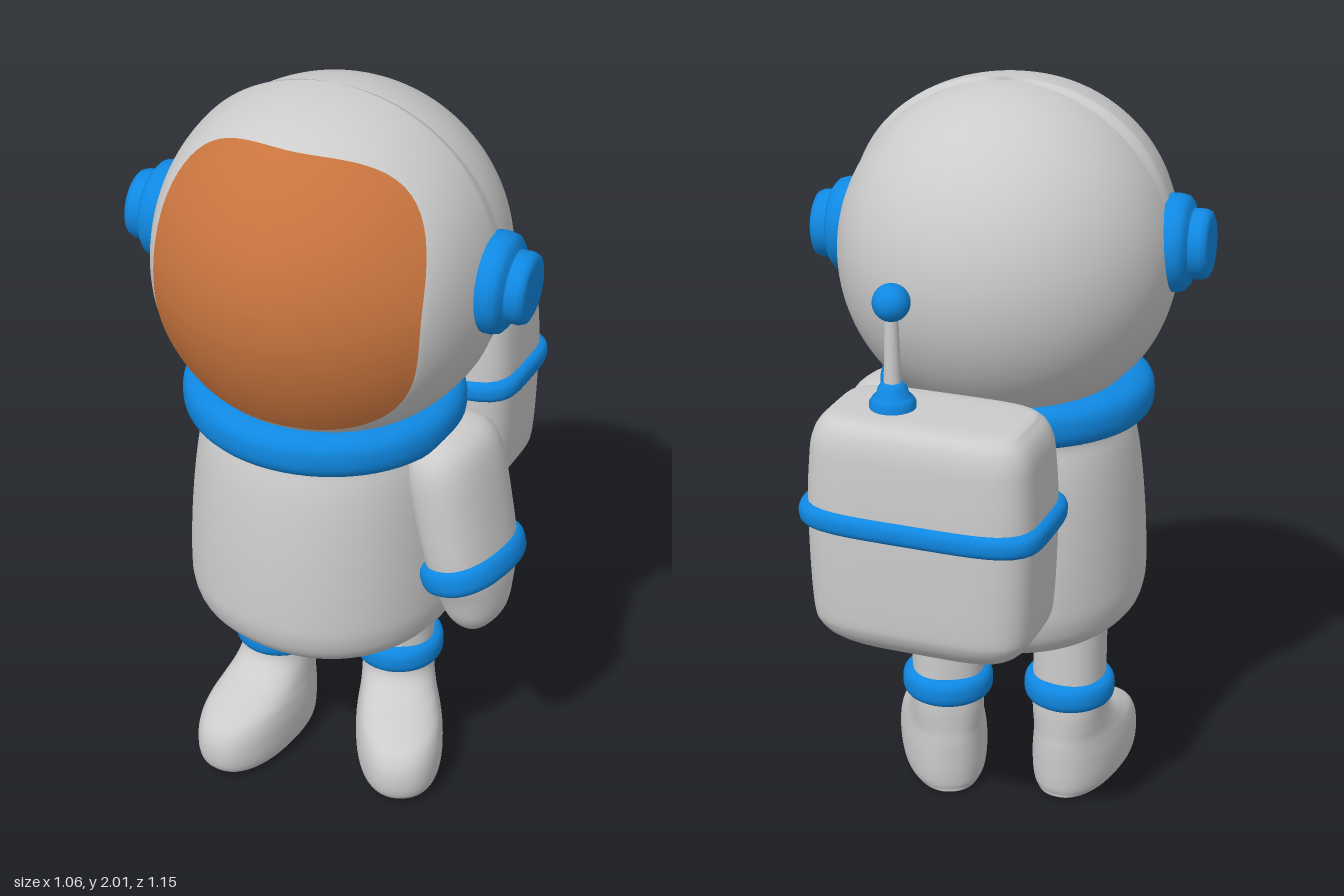
import * as THREE from 'three';

const grey = new THREE.MeshStandardMaterial({ color: 0xcccccc });
const blue = new THREE.MeshStandardMaterial({ color: 0x0f88e2 });
const amber = new THREE.MeshStandardMaterial({ color: 0xc8743e });
const { smoothstep } = THREE.MathUtils;

// Smooth surface from rows of closed loops; point(i, angle) returns [x, y, z]
function loops(rows, cols, point) {
  const pos = [], index = [];
  for (let i = 0; i <= rows; i++)
    for (let j = 0; j < cols; j++) pos.push(...point(i, (j / cols) * Math.PI * 2));
  for (let i = 0; i < rows; i++)
    for (let j = 0; j < cols; j++) {
      const a = i * cols + j, b = i * cols + ((j + 1) % cols);
      index.push(a, a + cols, b, b, a + cols, b + cols);
    }
  const g = new THREE.BufferGeometry();
  g.setAttribute('position', new THREE.Float32BufferAttribute(pos, 3));
  g.setIndex(index);
  g.computeVertexNormals();
  return g;
}

// Unit superellipse: n = 2 is a circle, larger n is squarer
function squircle(a, n) {
  const c = Math.cos(a), s = Math.sin(a);
  const r = Math.pow(Math.abs(c) ** n + Math.abs(s) ** n, -1 / n);
  return [c * r, s * r];
}

function spline(a, b, c, d, t) {
  const m = (c - a) / 2, k = (d - b) / 2;
  return (2 * b - 2 * c + m + k) * t ** 3 + (-3 * b + 3 * c - 2 * m - k) * t * t + m * t + b;
}

// Loft through cross-sections [y, halfX, halfZ, centreX, centreZ], from bottom to top
function loft(sections, n = 2, sub = 6) {
  const at = (i) => sections[Math.min(Math.max(i, 0), sections.length - 1)];
  const rows = (sections.length - 1) * sub;
  return loops(rows, 64, (i, a) => {
    const k = Math.min(Math.floor(i / sub), sections.length - 2), t = i / sub - k;
    const v = [0, 1, 2, 3, 4].map((c) =>
      spline(at(k - 1)[c] ?? 0, at(k)[c] ?? 0, at(k + 1)[c] ?? 0, at(k + 2)[c] ?? 0, t));
    const [x, z] = squircle(a, n);
    return [v[3] + Math.max(v[1], 0.0005) * x, v[0], v[4] + Math.max(v[2], 0.0005) * z];
  });
}

// Rounded strap: outer half sizes, height and thickness
function strap(rx, rz, h, thick, n = 2) {
  return loops(16, 64, (i, a) => {
    const [u, v] = squircle(-Math.PI / 2 + (i / 16) * Math.PI, 2.8);
    const [x, z] = squircle(a, n);
    const inset = thick * (1 - u);
    return [(rx - inset) * x, (h / 2) * v, (rz - inset) * z];
  });
}

function add(parent, name, geometry, material, x = 0, y = 0, z = 0) {
  const m = new THREE.Mesh(geometry, material);
  m.name = name;
  m.position.set(x, y, z);
  parent.add(m);
  return m;
}

function addGroup(parent, name, x, y, z, yaw = 0) {
  const g = new THREE.Group();
  g.name = name;
  g.position.set(x, y, z);
  g.rotation.y = yaw;
  parent.add(g);
  return g;
}

function buildHelmet(parent) {
  const head = addGroup(parent, 'helmet', -0.005, 1.56, 0.135, 0.235);
  head.rotation.z = -0.03;
  const half = 0.335, lift = 0.04, n = 2.9;

  // Sphere with a soft raised rim around the visor
  add(head, 'helmetShell', loops(96, 128, (i, a) => {
    const el = (i / 96 - 0.5) * Math.PI;
    const d = [Math.cos(el) * Math.cos(a), Math.sin(el), Math.cos(el) * Math.sin(a)];
    const u = Math.abs(d[0] * 0.45) / half, v = Math.abs(d[1] * 0.45 - lift) / half;
    const t = d[2] > 0 ? (u ** n + v ** n) ** (1 / n) : 9;
    const inside = smoothstep(t, 0.85, 1);
    const r = 0.432 + 0.01 * inside + 0.018 * inside * (1 - smoothstep(t, 1.03, 1.4));
    return d.map((c) => c * r);
  }), grey);

  // Squarish curved visor
  add(head, 'visor', loops(24, 96, (i, a) => {
    const t = i / 24, [x, y] = squircle(a, n);
    const px = x * t * half, py = y * t * half + lift;
    const r = 0.443 + 0.019 * t ** 4;
    const pz = Math.sqrt(Math.max(0.45 ** 2 - px * px - py * py, 0));
    return [px, py, pz].map((c) => (c * r) / 0.45);
  }), amber);

  // Stepped round ear pieces
  const profile = [[0, 0.375], [0.112, 0.375], [0.122, 0.385], [0.126, 0.4], [0.126, 0.445],
    [0.121, 0.463], [0.108, 0.474], [0.092, 0.478], [0.09, 0.482], [0.09, 0.508],
    [0.084, 0.522], [0.07, 0.528], [0, 0.53]];
  const ear = new THREE.LatheGeometry(profile.map((p) => new THREE.Vector2(...p)), 48);
  for (const side of [1, -1]) {
    const m = add(head, side > 0 ? 'leftEarpiece' : 'rightEarpiece', ear, blue, 0, 0.032, 0.03);
    m.rotation.z = (-side * Math.PI) / 2;
  }
}

function buildLeg(parent, name, x, z, yaw) {
  const leg = addGroup(parent, name, x, 0, z, yaw);
  // Sections: y, half width, heel, toe
  const boot = [[0.004, 0, 0.1, 0.101], [0.005, 0.08, -0.07, 0.27], [0.02, 0.108, -0.093, 0.318],
    [0.06, 0.119, -0.1, 0.335], [0.12, 0.12, -0.102, 0.33], [0.165, 0.114, -0.102, 0.3],
    [0.195, 0.107, -0.1, 0.235], [0.225, 0.102, -0.1, 0.16], [0.265, 0.099, -0.1, 0.108],
    [0.32, 0.098, -0.098, 0.098], [0.44, 0.098, -0.098, 0.098], [0.57, 0.098, -0.098, 0.098]];
  add(leg, 'legAndBoot', loft(boot.map(([y, w, b, f]) => [y, w, (f - b) / 2, 0, (f + b) / 2]), 2.3), grey);
  add(leg, 'ankleBand', strap(0.125, 0.125, 0.083, 0.04), blue, 0, 0.33, 0);
}

function buildBackpack(parent) {
  const pack = addGroup(parent, 'backpack', -0.065, 0, -0.36, 0.15);
  add(pack, 'packBody', loft([[0.666, 0, 0], [0.668, 0.17, 0.08], [0.685, 0.23, 0.125],
    [0.73, 0.277, 0.165], [0.8, 0.293, 0.176], [1.035, 0.3, 0.178], [1.17, 0.294, 0.173],
    [1.24, 0.285, 0.165], [1.282, 0.26, 0.145], [1.298, 0.215, 0.105], [1.3, 0, 0]], 4.5), grey);
  add(pack, 'packBand', strap(0.322, 0.193, 0.064, 0.035, 4.5), blue, 0, 1.035, 0);

  const antenna = addGroup(parent, 'antenna', 0.03, 0, -0.39);
  const base = [[0.058, 1.29], [0.058, 1.315], [0.05, 1.327], [0.042, 1.332], [0.036, 1.352],
    [0.026, 1.365], [0, 1.368]];
  add(antenna, 'antennaBase', new THREE.LatheGeometry(base.map((p) => new THREE.Vector2(...p)), 32), blue);
  add(antenna, 'antennaRod', new THREE.CylinderGeometry(0.016, 0.022, 0.2, 20), grey, 0, 1.455, 0);
  add(antenna, 'antennaBall', new THREE.SphereGeometry(0.047, 32, 20), blue, 0, 1.57, 0);
}

export function createModel() {
  const model = new THREE.Group();
  model.name = 'astronaut';
  buildHelmet(model);

  // Suit body and collar
  add(model, 'torso', loft([[0.489, 0, 0], [0.492, 0.15, 0.15], [0.515, 0.265, 0.265],
    [0.56, 0.332, 0.332], [0.62, 0.355, 0.358], [0.7, 0.358, 0.36], [0.85, 0.35, 0.35],
    [1.0, 0.335, 0.33], [1.1, 0.315, 0.305], [1.17, 0.28, 0.27], [1.2, 0, 0]], 2.15),
  grey, -0.015, 0, 0.155);
  add(model, 'collar', strap(0.37, 0.347, 0.125, 0.08), blue, -0.015, 1.178, 0.17);

  // Single arm on the left side, with cuff
  const arm = addGroup(model, 'leftArm', 0, 0, 0.105);
  add(arm, 'sleeveAndHand', loft([[0.585, 0, 0, 0.422], [0.595, 0.035, 0.05, 0.422],
    [0.64, 0.068, 0.09, 0.422], [0.71, 0.085, 0.115, 0.415], [0.8, 0.094, 0.145, 0.403],
    [0.95, 0.1, 0.153, 0.37], [1.07, 0.098, 0.15, 0.345], [1.13, 0.082, 0.125, 0.335],
    [1.158, 0.05, 0.08, 0.327], [1.165, 0, 0, 0.325]], 2.3), grey);
  add(arm, 'cuff', strap(0.113, 0.166, 0.083, 0.04, 2.3), blue, 0.405, 0.785, -0.003).rotation.z = 0.27;

  buildLeg(model, 'leftLeg', 0.11, 0.01, 0.64);
  buildLeg(model, 'rightLeg', -0.2, 0.145, 0.05);
  buildBackpack(model);
  return model;
}
